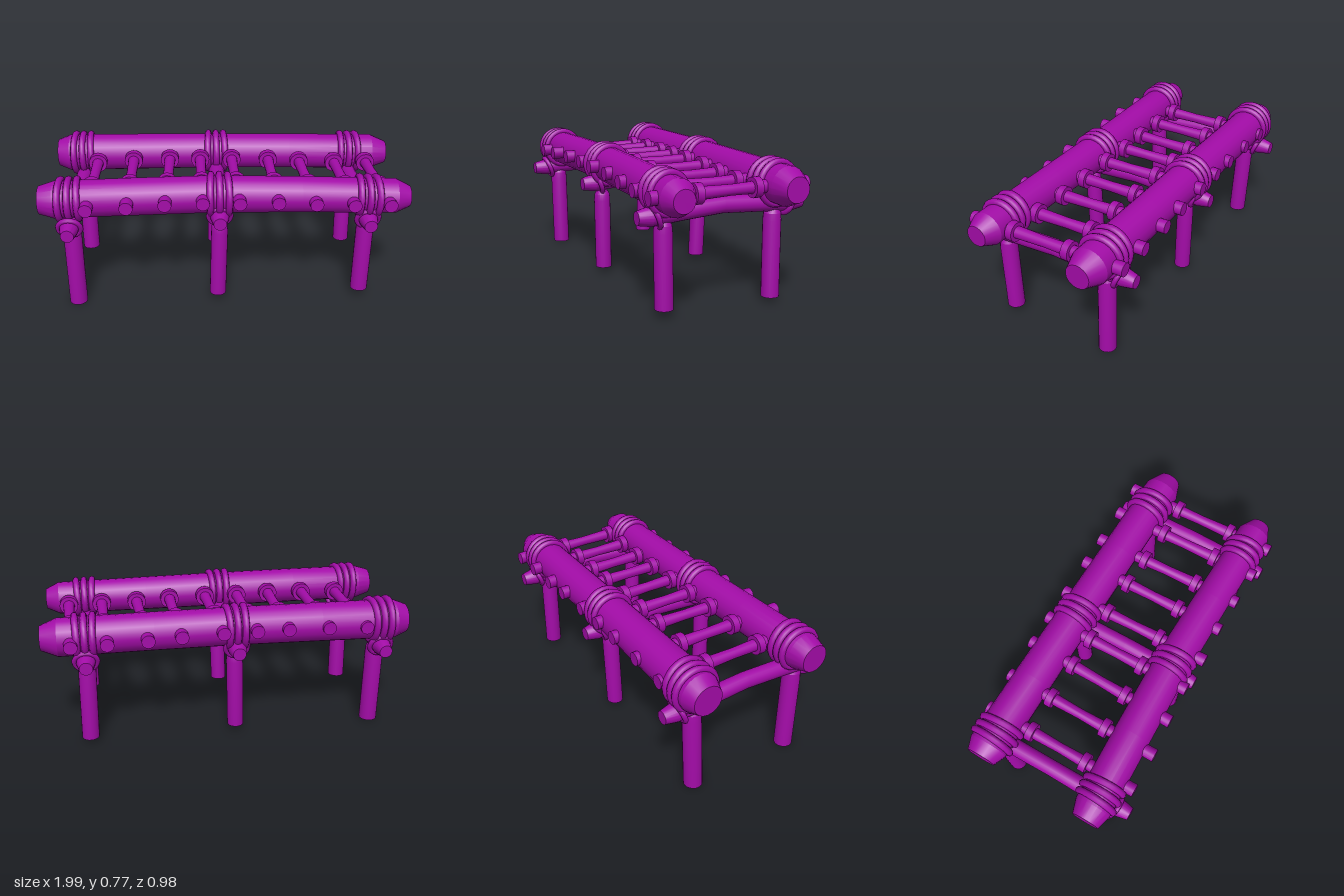
import * as THREE from 'three';
import { toCreasedNormals } from 'three/addons/utils/BufferGeometryUtils.js';

const material = new THREE.MeshStandardMaterial({ color: 0xa30ca8 });

// Log running along one axis; each section is [x, y, z, radius], ascending on that axis.
function logGeometry(axis, sections, sides = 20) {
  const last = sections.length - 1;
  const geo = new THREE.CylinderGeometry(1, 1, 1, sides, last);
  const pos = geo.attributes.position;
  for (let i = 0; i < pos.count; i++) {
    const [x, y, z, r] = sections[Math.round((pos.getY(i) + 0.5) * last)];
    const a = pos.getX(i) * r, b = pos.getZ(i) * r;
    if (axis === 'x') pos.setXYZ(i, x, y + b, z + a);
    else if (axis === 'z') pos.setXYZ(i, x + b, y + a, z);
    else pos.setXYZ(i, x + a, y, z + b);
  }
  return toCreasedNormals(geo, 0.36);
}

// Interpolated section of a log at a position along x.
function sectionAt(sections, x) {
  let i = 1;
  while (i < sections.length - 1 && sections[i][0] < x) i++;
  const a = sections[i - 1], b = sections[i];
  const t = (x - a[0]) / (b[0] - a[0]);
  return a.map((v, k) => THREE.MathUtils.lerp(v, b[k], t));
}

export function createModel() {
  const model = new THREE.Group();
  const add = (name, geo, parent = model) => {
    const mesh = new THREE.Mesh(geo, material);
    mesh.name = name;
    parent.add(mesh);
    return mesh;
  };

  // Two long side rails with tapered ends
  const rails = {
    front: [
      [-1, 0.64, 0.31, 0.076], [-0.92, 0.64, 0.308, 0.101], [-0.5, 0.644, 0.297, 0.102],
      [-0.05, 0.647, 0.288, 0.101], [0.4, 0.642, 0.3, 0.098], [0.91, 0.634, 0.317, 0.094],
      [0.985, 0.632, 0.322, 0.058],
    ],
    back: [
      [-0.99, 0.64, -0.335, 0.08], [-0.92, 0.64, -0.333, 0.108], [-0.5, 0.643, -0.327, 0.106],
      [-0.05, 0.645, -0.317, 0.104], [0.4, 0.641, -0.307, 0.103], [0.9, 0.634, -0.296, 0.103],
      [0.99, 0.632, -0.29, 0.066],
    ],
  };
  for (const side in rails) add(side + 'Rail', logGeometry('x', rails[side]));

  // Rungs pushed through both rails: [front x, back x, y, front end z, front collar z, back collar z]
  const rungs = [
    [-0.74, -0.74, 0.64, 0.455, 0.155, -0.175], [-0.53, -0.53, 0.65, 0.457, 0.155, -0.18],
    [-0.33, -0.31, 0.655, 0.44, 0.155, -0.175], [-0.13, -0.14, 0.655, 0.43, 0.15, -0.17],
    [0.065, 0.04, 0.655, 0.44, 0.155, -0.165], [0.27, 0.26, 0.65, 0.43, 0.16, -0.16],
    [0.47, 0.435, 0.64, 0.435, 0.17, -0.15], [0.67, 0.645, 0.635, 0.445, 0.185, -0.14],
    [0.86, 0.83, 0.633, 0.447, 0.19, -0.14],
  ];
  for (const [xf, xb, y, zf, cf, cb] of rungs) {
    const rung = new THREE.Group();
    rung.name = 'rung';
    model.add(rung);
    const at = (z) => THREE.MathUtils.mapLinear(z, -0.45, zf, xb, xf);
    add('rungPole', logGeometry('z', [
      [xb, y, -0.452, 0.036], [at(-0.18), y, -0.18, 0.033], [at(0), y, 0, 0.028],
      [at(0.18), y, 0.18, 0.033], [xf, y, zf, 0.036],
    ]), rung);
    for (const z of [cf, cb]) {
      add('rungCollar', logGeometry('z', [[at(z), y, z - 0.02, 0.053], [at(z), y, z + 0.02, 0.053]]), rung);
    }
  }

  // Three trestles: arched cross beam, two legs and rope lashings
  const trestles = [
    { x: -0.84, y: 0.51, back: -0.49, front: 0.485, foot: [-0.845, 0.0], floor: [0, 0.008], r: 0.05 },
    { x: -0.04, y: 0.54, back: -0.465, front: 0.44, foot: [-0.05, 0], floor: [0.04, 0.038], r: 0.046 },
    { x: 0.76, y: 0.52, back: -0.47, front: 0.46, foot: [0.76, 0], floor: [0.05, 0.028], r: 0.048 },
  ];
  trestles.forEach(({ x, y, back, front, foot, floor, r }, index) => {
    const trestle = new THREE.Group();
    trestle.name = 'trestle';
    model.add(trestle);

    add('crossBeam', logGeometry('z', [
      [x, y, back, 0.035], [x, y + 0.003, back + 0.07, 0.05], [x, y + 0.012, -0.22, 0.046],
      [x, y + 0.024, 0, 0.044], [x, y + 0.012, 0.22, 0.046],
      [x, y + 0.003, front - 0.07, 0.05], [x, y, front, 0.035],
    ]), trestle);

    for (const s of [1, -1]) {
      const zFoot = s > 0 ? 0.315 : -0.298;
      const zTop = s > 0 ? 0.322 : -0.3 - 0.008 * (2 - index);
      const xFoot = foot[0] + (index === 2 && s < 0 ? 0.008 : 0);
      const f = floor[s > 0 ? 0 : 1];
      // Leg with a rounded top
      add('leg', logGeometry('y', [
        [xFoot, f, zFoot, r], [x, 0.44, zTop, r], [x, 0.475, zTop, r * 0.93],
        [x, 0.495, zTop, r * 0.72], [x, 0.505, zTop, r * 0.35],
      ]), trestle);

      // Three rope turns around the rail
      const rail = s > 0 ? rails.front : rails.back;
      for (const k of [-1, 0, 1]) {
        const rx = x + k * 0.046;
        const [, ry, rz, rr] = sectionAt(rail, rx);
        const turn = add('railLashing', new THREE.TorusGeometry(rr + 0.005, 0.019, 8, 28), trestle);
        turn.position.set(rx, ry, rz);
        turn.rotation.y = Math.PI / 2 + k * 0.05;
      }
      // One slanted rope turn around the beam
      const loop = add('beamLashing', new THREE.TorusGeometry(0.06, 0.014, 8, 24), trestle);
      loop.position.set(x, y + 0.003, s * (Math.abs(s > 0 ? front : back) - 0.09));
      loop.rotation.x = s * 0.38;
    }
  });

  return model;
}
